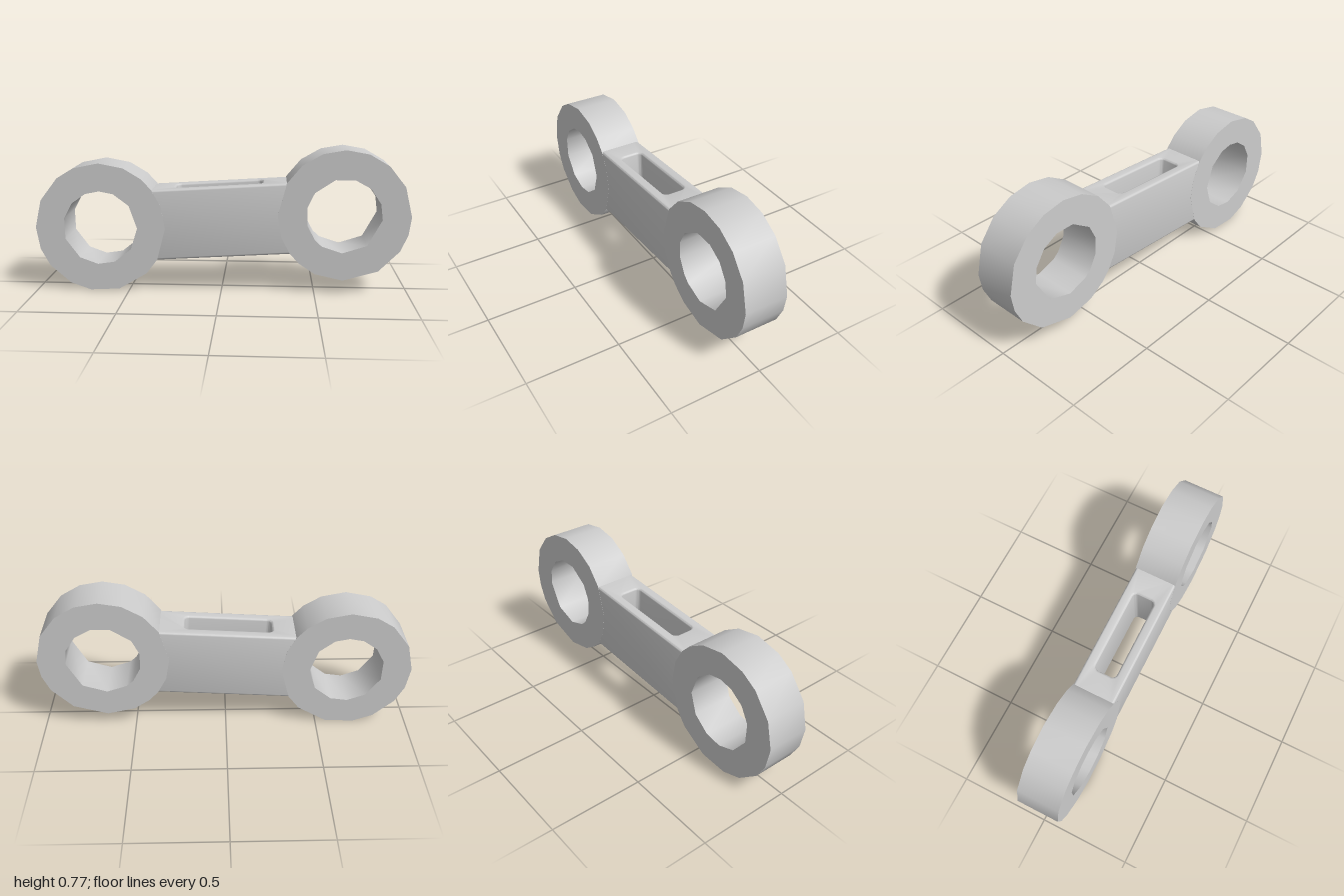
import * as THREE from 'three';
import { toCreasedNormals } from 'three/addons/utils/BufferGeometryUtils.js';

const material = new THREE.MeshStandardMaterial({ color: 0xcccccc });
const DEPTH = 0.234;

// Points on a circle at the given angles in degrees
const onCircle = (radius, angles) => angles.map((a) => {
  const t = THREE.MathUtils.degToRad(a);
  return new THREE.Vector2(radius * Math.cos(t), radius * Math.sin(t));
});

// Thick eye with slightly uneven facets and smooth walls
function makeEye(name, x, y, outerAngles, holeAngles) {
  const shape = new THREE.Shape(onCircle(0.35, outerAngles));
  shape.holes.push(new THREE.Path(onCircle(0.2, holeAngles)));
  const geometry = new THREE.ExtrudeGeometry(shape, { depth: DEPTH, bevelEnabled: false });
  geometry.translate(0, 0, -DEPTH / 2);
  const mesh = new THREE.Mesh(toCreasedNormals(geometry, 1), material);
  mesh.name = name;
  mesh.position.set(x, y, 0);
  return mesh;
}

// Rectangle centred on the origin with rounded corners
function roundedRect(path, w, h, r) {
  const x = w / 2, y = h / 2;
  path.moveTo(-x + r, -y);
  path.lineTo(x - r, -y);
  path.absarc(x - r, -y + r, r, -Math.PI / 2, 0);
  path.lineTo(x, y - r);
  path.absarc(x - r, y - r, r, 0, Math.PI / 2);
  path.lineTo(-x + r, y);
  path.absarc(-x + r, y - r, r, Math.PI / 2, Math.PI);
  path.lineTo(-x, -y + r);
  path.absarc(-x + r, -y + r, r, Math.PI, Math.PI * 1.5);
  return path;
}

// Web between the eyes: rounded long edges and a slot through its height
function makeWeb() {
  const x = 0.4, z = DEPTH / 2 - 0.0005, bevel = 0.012, height = 0.382;
  const shape = new THREE.Shape([[-x, -z], [x, -z], [x, z], [-x, z]].map((p) => new THREE.Vector2(...p)));
  shape.holes.push(roundedRect(new THREE.Path(), 0.465, 0.122, 0.025));
  const geometry = new THREE.ExtrudeGeometry(shape, {
    depth: height - 2 * bevel, bevelThickness: bevel, bevelSize: bevel,
    bevelOffset: -bevel, bevelSegments: 3, curveSegments: 5,
  });
  geometry.translate(0, 0, bevel - height / 2);
  geometry.rotateX(-Math.PI / 2);
  const mesh = new THREE.Mesh(toCreasedNormals(geometry, 0.7), material);
  mesh.name = 'slottedWeb';
  mesh.position.set(-0.005, 0.389, 0);
  mesh.rotation.z = Math.atan2(0.08, 1.3);
  return mesh;
}

export function createModel() {
  const group = new THREE.Group();
  group.name = 'linkArm';
  group.add(
    makeEye('rightEye', -0.65, 0.35,
      [0, 20, 37, 50, 68, 90, 113, 130, 155, 180, 200, 217, 241, 260, 286, 315, 331],
      [0, 38, 68, 90, 112, 138, 165, 198, 235, 265, 292, 325]),
    makeEye('leftEye', 0.65, 0.43,
      [0, 27, 50, 70, 90, 110, 130, 150, 180, 200, 216, 228, 245, 270, 302, 328, 344],
      [20, 48, 75, 105, 142, 168, 195, 221, 235, 268, 308, 355]),
    makeWeb(),
  );
  return group;
}
